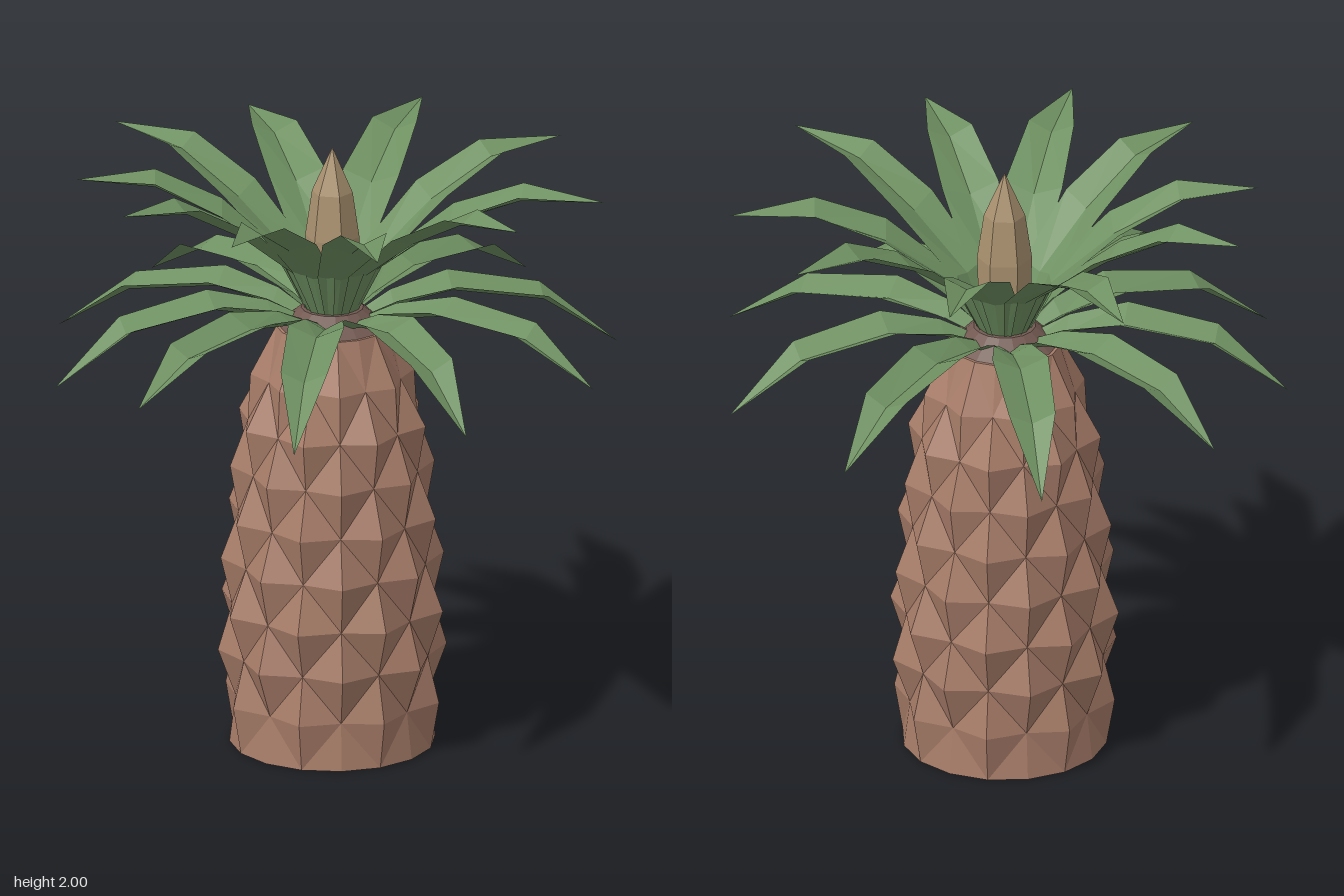
import * as THREE from 'three';

const flat = (name, color, side = THREE.FrontSide) =>
  Object.assign(new THREE.MeshStandardMaterial({ color, flatShading: true, side }), { name });

// Builds an unindexed, flat shaded geometry from points and triangles
function fromTriangles(points, triangles) {
  const geometry = new THREE.BufferGeometry().setFromPoints(points);
  geometry.setIndex(triangles.flat());
  const result = geometry.toNonIndexed();
  result.computeVertexNormals();
  return result;
}

// Body: rings whose vertices alternate out and in, making diamond pyramids
function bodyGeometry() {
  const sides = 16;
  const radii = [0.33, 0.357, 0.367, 0.37, 0.358, 0.346, 0.328, 0.312, 0.263, 0.18];
  const last = radii.length - 1;
  const points = [];
  const triangles = [];
  radii.forEach((radius, j) => {
    for (let i = 0; i < sides; i++) {
      const inner = j > 0 && j < last && (i + j) % 2 === 1;
      const r = radius * (inner ? 0.87 : 1);
      const a = (i / sides) * Math.PI * 2;
      points.push(new THREE.Vector3(r * Math.sin(a), j === last ? 1.4 : j * 0.155, r * Math.cos(a)));
    }
  });
  const bottom = points.push(new THREE.Vector3(0, 0, 0)) - 1;
  const top = points.push(new THREE.Vector3(0, 1.4, 0)) - 1;
  for (let i = 0; i < sides; i++) {
    const n = (i + 1) % sides;
    for (let j = 0; j < last; j++) {
      const a = j * sides + i, b = j * sides + n;
      const c = b + sides, d = a + sides;
      if ((i + j) % 2 === 0) triangles.push([a, b, d], [b, c, d]);
      else triangles.push([a, b, c], [a, c, d]);
    }
    triangles.push([bottom, n, i], [top, last * sides + i, last * sides + n]);
  }
  return fromTriangles(points, triangles);
}

// Leaf: folded strip along +z; stations are [reach, height, half width, edge lift]
function leafGeometry(stations) {
  const points = [];
  const triangles = [];
  stations.forEach(([z, y, w, lift], k) => {
    points.push(
      new THREE.Vector3(-w, y + lift, z),
      new THREE.Vector3(0, y, z),
      new THREE.Vector3(w, y + lift, z));
    if (k === 0) return;
    for (let s = 0; s < 2; s++) {
      const a = (k - 1) * 3 + s, d = k * 3 + s;
      if (k === stations.length - 1) triangles.push([a, d, a + 1]);
      else triangles.push([a, d, d + 1], [a, d + 1, a + 1]);
    }
  });
  return fromTriangles(points, triangles);
}

const lowerStations = (reach, tipY) => [
  [0.09, 1.41, 0.03, 0.02],
  [0.2, 1.45, 0.06, 0.035],
  [0.42 * reach, 1.49, 0.09, 0.04],
  [0.74 * reach, 1.46 + (tipY - 1.33) * 0.4, 0.075, 0.035],
  [reach, tipY, 0, 0],
];

const upperStations = (reach, tipY) => [
  [0.07, 1.43, 0.035, 0.01],
  [0.15, 1.6, 0.075, 0.015],
  [0.43 * reach, 1.76, 0.095, 0.035],
  [0.69 * reach, 1.88 + (tipY - 1.92) * 0.5, 0.075, 0.035],
  [reach, tipY, 0, 0],
];

// Leaves as [angle from the front in degrees, reach, tip height]
const lowerLeaves = [
  [0, 0.97, 1.37], [32.3, 0.935, 1.28], [67.6, 0.92, 1.3],
  [102.3, 0.94, 1.33], [140.7, 0.93, 1.28], [180, 0.97, 1.33],
];
const upperLeaves = [
  [16.4, 0.81, 1.92], [50, 0.82, 1.89], [84.6, 0.845, 1.92],
  [122.4, 0.88, 1.85], [160, 0.85, 1.89],
];

export function createModel() {
  const model = new THREE.Group();
  model.name = 'pineapple';
  const skin = flat('brown skin', 0xa87d69);
  const collarMat = flat('dark brown collar', 0x735a52);
  const green = flat('leaf green', 0x6f9162, THREE.DoubleSide);
  const tan = flat('tan bud', 0xab9270);

  const add = (parent, name, geometry, material) => {
    const mesh = new THREE.Mesh(geometry, material);
    mesh.name = name;
    parent.add(mesh);
    return mesh;
  };

  add(model, 'body', bodyGeometry(), skin);

  // Collar where the leaves sprout
  add(model, 'collar', new THREE.CylinderGeometry(0.1, 0.17, 0.06, 16), collarMat).position.y = 1.43;

  // Pointed bud in the middle of the crown
  const budProfile = [[0.06, 1.44], [0.085, 1.6], [0.088, 1.7], [0.066, 1.85], [0, 2]]
    .map(([r, y]) => new THREE.Vector2(r, y));
  add(model, 'bud', new THREE.LatheGeometry(budProfile, 6), tan);

  // Two tiers of leaves, mirrored left and right
  const addTier = (name, leaves, stations) => {
    const tier = new THREE.Group();
    tier.name = name;
    for (const [degrees, reach, tipY] of leaves) {
      const geometry = leafGeometry(stations(reach, tipY));
      for (const side of degrees % 180 === 0 ? [1] : [1, -1]) {
        add(tier, 'leaf', geometry, green).rotation.y = side * THREE.MathUtils.degToRad(degrees);
      }
    }
    model.add(tier);
  };
  addTier('lowerLeaves', lowerLeaves, lowerStations);
  addTier('upperLeaves', upperLeaves, upperStations);

  return model;
}
